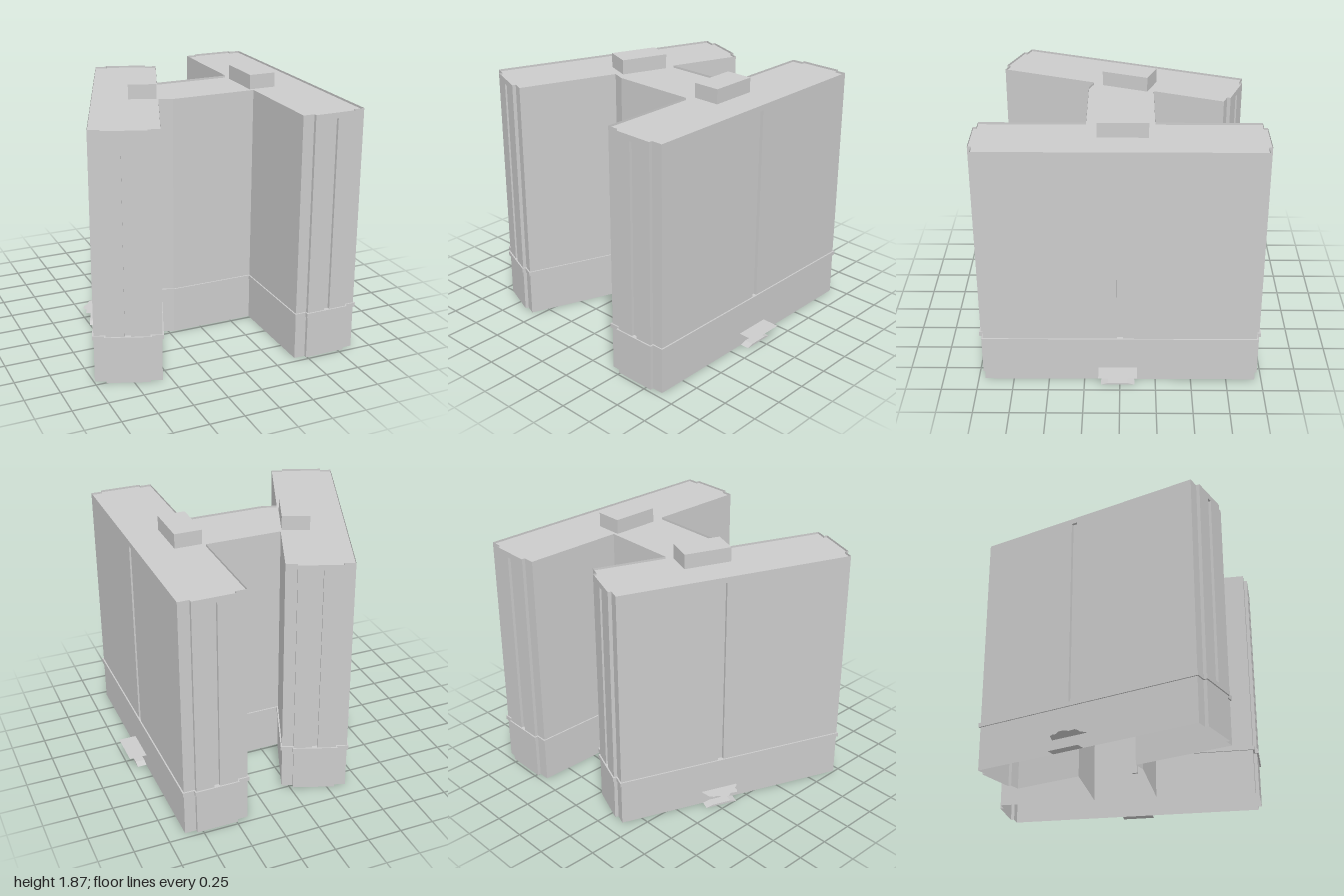
import * as THREE from 'three';

const material = new THREE.MeshStandardMaterial({ color: 0xcccccc, flatShading: true, side: THREE.DoubleSide });
const HALF = 0.231, STEP = 0.15, OUT = 0.025;      // wing half width, end bay half width, bay projection
const SLOT = 0.021, DEPTH = 0.022;                 // window slot half width and depth
const SLOT_Y = [0.347, 1.74], TOP = 1.78, ROOF_Y = 1.765;

// the two wings: centre, turn, half length, slot position along the outer wall
const wings = [
  { name: 'leftWing', x: 0.641, z: 0, turn: 0, len: 0.953, slot: 0,
    canopy: [[HALF, 0.15], [0.359, 0.15], [0.359, -0.12], [HALF, -0.12]] },
  { name: 'rightWing', x: -0.473, z: -0.01, turn: Math.PI + 0.365, len: 0.85, slot: 0.095,
    canopy: [[HALF, 0.24], [0.3, 0.21], [0.318, 0.18], [0.314, 0.155], [0.345, 0.115], [0.345, 0.075],
      [0.32, 0.05], [0.325, 0.0], [0.3, -0.01], [0.272, -0.005], [0.25, -0.03], [HALF, -0.035]] },
];

// wing outline (across, along), with or without the slots
function wingOutline(w, slots) {
  const L = w.len, M = L + OUT, inner = M - DEPTH, s = w.slot;
  const end = [[-HALF, L], [-STEP, L], [-STEP, M],
    ...(slots ? [[-SLOT, M], [-SLOT, inner], [SLOT, inner], [SLOT, M]] : []),
    [STEP, M], [STEP, L], [HALF, L]];
  const side = slots ? [[HALF, s + SLOT], [HALF - DEPTH, s + SLOT], [HALF - DEPTH, s - SLOT], [HALF, s - SLOT]] : [];
  const back = end.map(([u, v]) => [u, -v]).reverse();
  const c = Math.cos(w.turn), n = Math.sin(w.turn);
  return [...end, ...side, ...back].map(([u, v]) => [w.x + u * c - v * n, w.z + u * n + v * c]);
}

// whole plan as (x, z) loop: two wings joined by the link block
function outline(slots) {
  return [...wingOutline(wings[0], slots), [0.41, -0.235], [-0.14, -0.235],
    ...wingOutline(wings[1], slots), [-0.303, 0.195], [-0.21, 0.23], [0.41, 0.23]];
}

// move every edge of the loop outward by d
function offset(loop, d) {
  const n = loop.length;
  const normal = (a, b) => {
    const x = b[0] - a[0], z = b[1] - a[1], l = Math.hypot(x, z);
    return [-z / l, x / l];
  };
  return loop.map((p, i) => {
    const a = normal(loop[(i + n - 1) % n], p), b = normal(p, loop[(i + 1) % n]);
    const k = d / (1 + a[0] * b[0] + a[1] * b[1]);
    return [p[0] + (a[0] + b[0]) * k, p[1] + (a[1] + b[1]) * k];
  });
}

const toShape = (loop) => new THREE.Shape(loop.map(([x, z]) => new THREE.Vector2(x, -z)));

function add(parent, name, geometry, x = 0, y = 0, z = 0) {
  const mesh = new THREE.Mesh(geometry, material);
  mesh.name = name;
  mesh.position.set(x, y, z);
  parent.add(mesh);
  return mesh;
}

// open wall strip standing on a loop
function wall(loop, y0, y1) {
  const pos = [];
  loop.forEach(([ax, az], i) => {
    const [bx, bz] = loop[(i + 1) % loop.length];
    pos.push(ax, y0, az, bx, y0, bz, bx, y1, bz, ax, y0, az, bx, y1, bz, ax, y1, az);
  });
  const g = new THREE.BufferGeometry();
  g.setAttribute('position', new THREE.Float32BufferAttribute(pos, 3));
  g.computeVertexNormals();
  return g;
}

const flat = (loop) => new THREE.ShapeGeometry(toShape(loop)).rotateX(-Math.PI / 2);

export function createModel() {
  const model = new THREE.Group();
  model.name = 'building';
  const plain = outline(false);

  // walls: base, slotted storeys, parapet
  add(model, 'baseWall', wall(plain, 0, SLOT_Y[0]));
  add(model, 'upperWall', wall(outline(true), ...SLOT_Y));
  add(model, 'parapet', wall(plain, SLOT_Y[1], TOP));
  add(model, 'roof', flat(plain), 0, ROOF_Y);

  // string course around the whole plan
  const ring = toShape(offset(plain, 0.01));
  ring.holes.push(toShape(plain));
  add(model, 'stringCourse', new THREE.ExtrudeGeometry(ring, { depth: 0.031, bevelEnabled: false })
    .rotateX(-Math.PI / 2), 0, 0.316);

  for (const w of wings) {
    const wing = new THREE.Group();
    wing.name = w.name;
    wing.position.set(w.x, 0, w.z);
    wing.rotation.y = -w.turn;
    model.add(wing);

    // sills and heads closing the slots
    for (const y of SLOT_Y) {
      for (const s of [-1, 1]) {
        add(wing, 'endSlotCap', new THREE.PlaneGeometry(2 * SLOT, DEPTH).rotateX(-Math.PI / 2),
          0, y, s * (w.len + OUT - DEPTH / 2));
      }
      add(wing, 'sideSlotCap', new THREE.PlaneGeometry(DEPTH, 2 * SLOT).rotateX(-Math.PI / 2),
        HALF - DEPTH / 2, y, w.slot);
    }

    // lift housing on the roof
    add(wing, 'roofHousing', new THREE.BoxGeometry(0.198, 0.11, 0.343), -0.122, 1.815, w.slot ? 0.104 : -0.018);

    // entrance canopy and doorstep
    add(wing, 'canopy', flat(w.canopy), 0, 0.1);
    const step = new THREE.Shape([[-0.117, 0], [0.117, 0], [0.07, 0.015], [-0.07, 0.015]]
      .map(([a, b]) => new THREE.Vector2(a, b)));
    add(wing, 'doorstep', new THREE.ExtrudeGeometry(step, { depth: 0.067, bevelEnabled: false })
      .rotateY(Math.PI / 2), HALF, 0, w.slot + 0.015);
  }
  return model;
}
